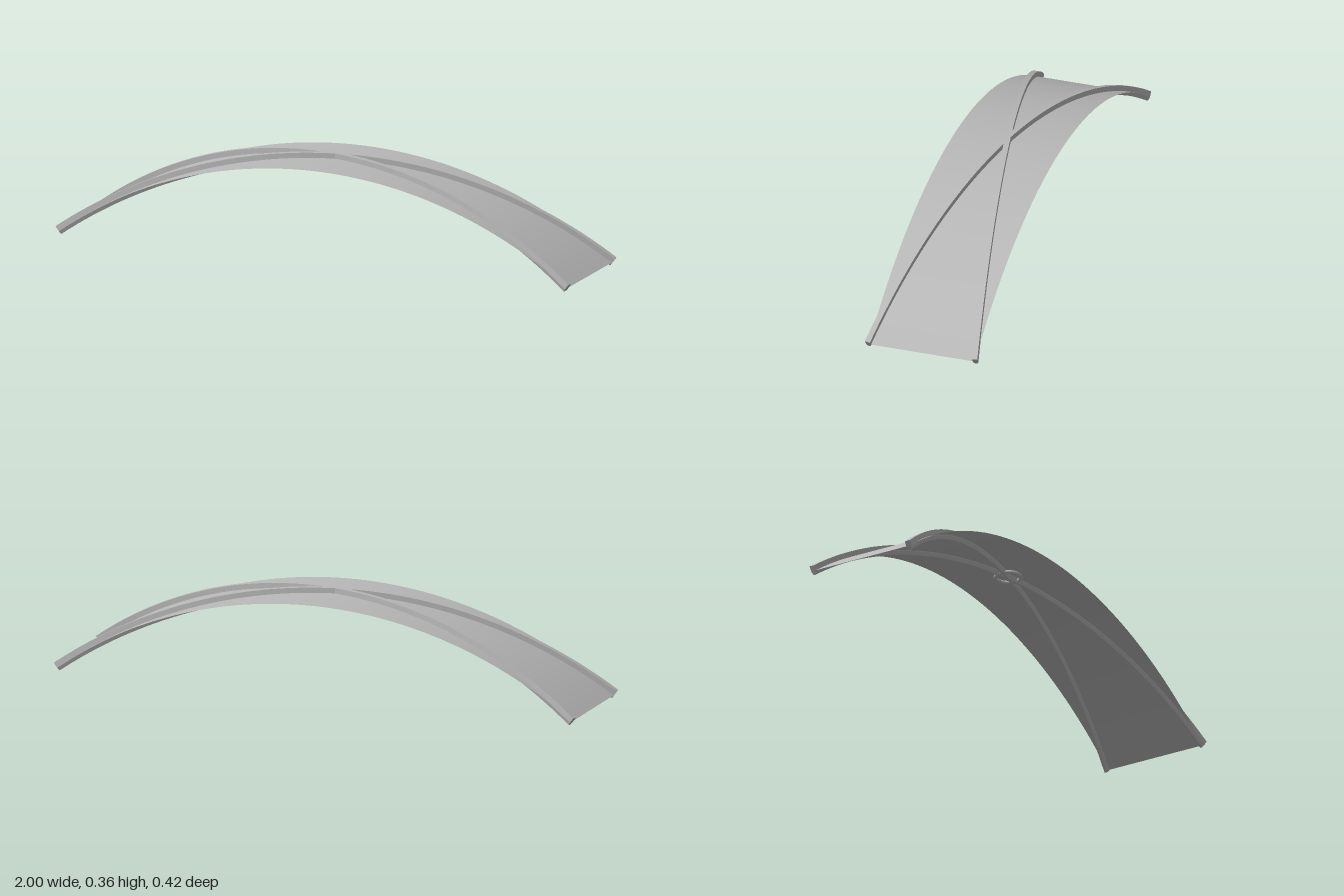
import * as THREE from 'three';

const HALF = 0.987, APEX = 0.336, FOOT = 0.0125, DEPTH = 0.198;
const RISE = APEX - FOOT;
const RADIUS = (HALF * HALF + RISE * RISE) / (2 * RISE);
const CENTRE_Y = APEX - RADIUS;
const SWEEP = Math.asin(HALF / RADIUS);
const STEPS = 64;

// Rib section in (side, up): flat top, straight flanks, tapered underside
const SECTION = [
  [-0.004, -0.0155], [0.004, -0.0155], [0.01, -0.003],
  [0.01, 0.019], [-0.01, 0.019], [-0.01, -0.003],
];

function arcPoint(angle) {
  return new THREE.Vector3(RADIUS * Math.sin(angle), CENTRE_Y + RADIUS * Math.cos(angle), 0);
}

function toGeometry(positions, indices) {
  const g = new THREE.BufferGeometry();
  g.setAttribute('position', new THREE.Float32BufferAttribute(positions, 3));
  g.setIndex(indices);
  g.computeVertexNormals();
  return g;
}

// Curved sheet spanning the whole vault
function vaultGeometry() {
  const g = new THREE.PlaneGeometry(2, 2 * DEPTH, STEPS, 1);
  g.rotateX(-Math.PI / 2);
  const p = g.attributes.position;
  for (let i = 0; i < p.count; i++) {
    const q = arcPoint(p.getX(i) * SWEEP);
    p.setXYZ(i, q.x, q.y, p.getZ(i));
  }
  g.computeVertexNormals();
  return g;
}

// Diagonal rib following the vault; slope is z per x
function ribGeometry(slope) {
  const rings = [];
  for (let k = 0; k <= STEPS; k++) {
    const angle = (k / STEPS * 2 - 1) * SWEEP;
    const c = arcPoint(angle);
    c.z = slope * c.x;
    const up = new THREE.Vector3(Math.sin(angle), Math.cos(angle), 0);
    const along = new THREE.Vector3(Math.cos(angle), -Math.sin(angle), slope * Math.cos(angle)).normalize();
    const side = along.cross(up).normalize();
    rings.push(SECTION.map(([s, u]) => c.clone().addScaledVector(side, s).addScaledVector(up, u)));
  }
  const pos = [], idx = [], n = SECTION.length;
  // One separate strip per side keeps the long edges sharp
  for (let i = 0; i < n; i++) {
    const base = pos.length / 3;
    rings.forEach((r, k) => {
      pos.push(...r[i].toArray(), ...r[(i + 1) % n].toArray());
      if (k < STEPS) {
        const a = base + 2 * k;
        idx.push(a, a + 2, a + 1, a + 1, a + 2, a + 3);
      }
    });
  }
  // End caps
  for (const [ring, start] of [[rings[0], true], [rings[STEPS], false]]) {
    const base = pos.length / 3;
    ring.forEach((v) => pos.push(...v.toArray()));
    for (let i = 1; i < n - 1; i++) {
      idx.push(base, base + (start ? i : i + 1), base + (start ? i + 1 : i));
    }
  }
  return toGeometry(pos, idx);
}

export function createModel() {
  const model = new THREE.Group();
  model.name = 'ribbedVault';
  const stone = new THREE.MeshStandardMaterial({ color: 0xb8b8b8, side: THREE.DoubleSide });
  stone.name = 'grey stone';

  const add = (geometry, name) => {
    const mesh = new THREE.Mesh(geometry, stone);
    mesh.name = name;
    model.add(mesh);
    return mesh;
  };

  add(vaultGeometry(), 'vaultSheet');
  add(ribGeometry(0.2 / HALF), 'diagonalRibA');
  add(ribGeometry(-0.2 / HALF), 'diagonalRibB');

  // Ring under the crossing of the ribs
  const ring = add(new THREE.TorusGeometry(0.045, 0.007, 12, 40), 'crownRing');
  ring.rotation.x = Math.PI / 2;
  ring.position.y = APEX - 0.0075;

  return model;
}
